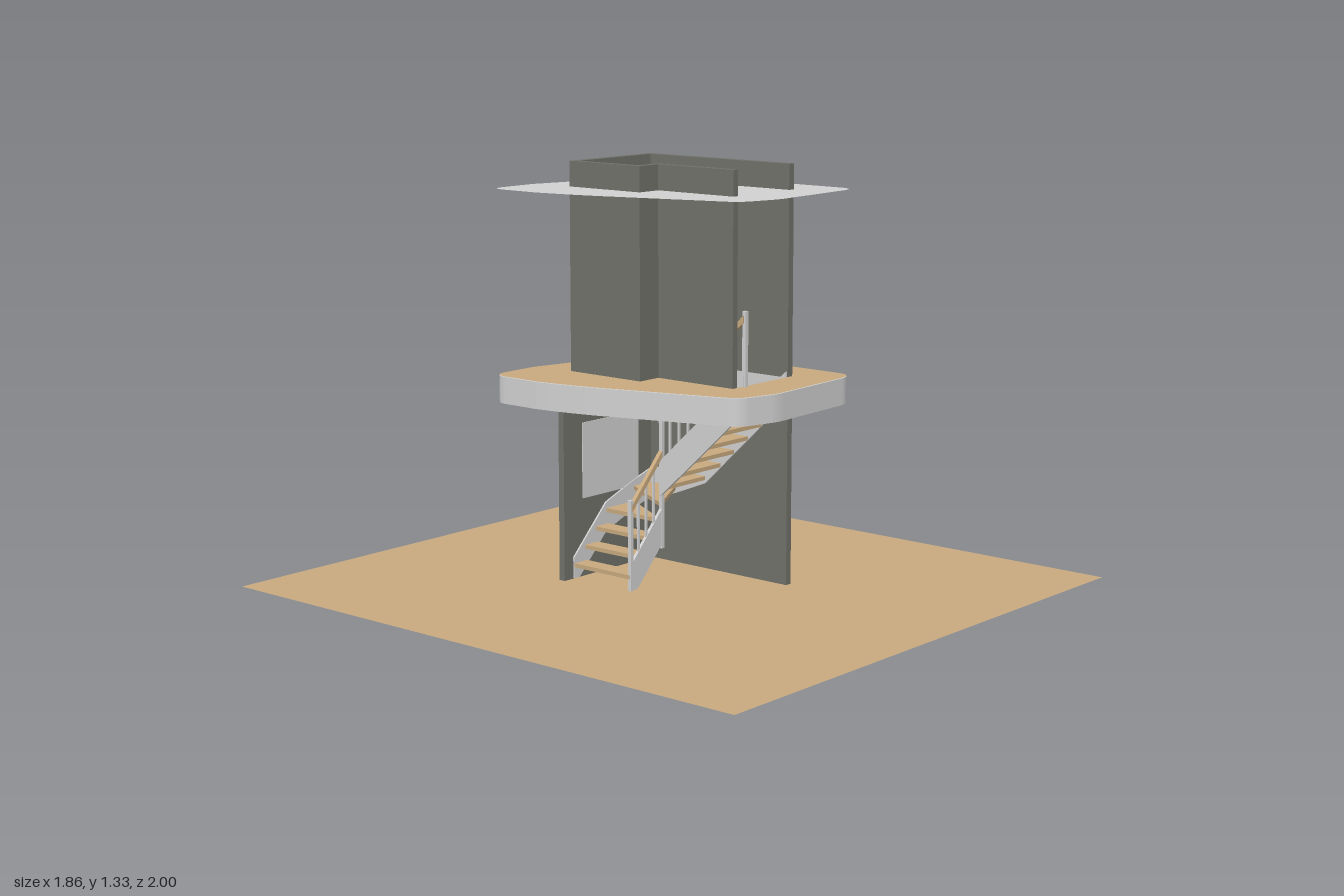
import * as THREE from 'three';

const mat = (name, color, side = THREE.FrontSide) => {
  const m = new THREE.MeshStandardMaterial({ color, side });
  m.name = name;
  return m;
};

export function createModel() {
  const model = new THREE.Group();
  model.name = 'stairTower';
  const wood = mat('wood', 0xc8a97e, THREE.DoubleSide);
  const white = mat('paleGrey', 0xd0d0d0, THREE.DoubleSide);
  const wallGrey = mat('wallGrey', 0x70716a);

  const add = (name, geo, material, parent = model) => {
    const m = new THREE.Mesh(geo, material);
    m.name = name;
    parent.add(m);
    return m;
  };
  // box given by its limits on each axis
  const box = (name, material, x0, x1, y0, y1, z0, z1, parent) => {
    const m = add(name, new THREE.BoxGeometry(x1 - x0, y1 - y0, z1 - z0), material, parent);
    m.position.set((x0 + x1) / 2, (y0 + y1) / 2, (z0 + z1) / 2);
    return m;
  };
  // sloping upright band from a to b ([x, y, z]), reaching lo..hi around that line
  const band = (name, material, a, b, lo, hi, t, parent) => {
    const dx = b[0] - a[0], dz = b[2] - a[2], len = Math.hypot(dx, dz);
    const floor = y => Math.max(0.002, y);
    const s = new THREE.Shape();
    s.moveTo(0, floor(a[1] + lo));
    if (a[1] + lo < 0) s.lineTo(len * (-lo - a[1]) / (b[1] - a[1]), 0.002);
    s.lineTo(len, floor(b[1] + lo));
    s.lineTo(len, b[1] + hi);
    s.lineTo(0, a[1] + hi);
    const g = new THREE.ExtrudeGeometry(s, { depth: t, bevelEnabled: false });
    g.translate(0, 0, -t / 2).rotateY(Math.atan2(-dz, dx)).translate(a[0], 0, a[2]);
    return add(name, g, material, parent);
  };

  // ground sheet
  add('ground', new THREE.PlaneGeometry(1.86, 2).rotateX(-Math.PI / 2), wood);

  // tower walls
  const FLOOR = 0.665, UNDER = 0.58, TOP = 1.33;
  const walls = new THREE.Group();
  walls.name = 'walls';
  model.add(walls);
  box('rightSideWall', wallGrey, 0.197, 0.22, 0, TOP, -0.295, 0.292, walls);
  box('backWallLower', wallGrey, -0.22, 0.197, 0, UNDER, -0.295, -0.273, walls);
  box('backWallUpper', wallGrey, -0.16, 0.197, UNDER, TOP, -0.295, -0.273, walls);
  box('sideWallRear', wallGrey, -0.16, -0.138, UNDER + 0.01, TOP, -0.273, -0.005, walls);
  box('jogWall', wallGrey, -0.138, -0.052, UNDER + 0.01, TOP, -0.027, -0.005, walls);
  box('sideWallFront', wallGrey, -0.074, -0.052, UNDER + 0.01, TOP, -0.005, 0.292, walls);
  box('backWindow', white, -0.135, 0.132, 0.255, 0.5, -0.298, -0.27);

  // rounded, irregular floor outline (shape y is z)
  const outline = () => {
    const s = new THREE.Shape();
    s.moveTo(-0.19, -0.438);
    s.lineTo(-0.31, -0.438);
    s.quadraticCurveTo(-0.366, -0.435, -0.366, -0.38);
    s.lineTo(-0.366, -0.25);
    s.quadraticCurveTo(-0.35, -0.12, -0.315, -0.005);
    s.lineTo(-0.2, 0.365);
    s.quadraticCurveTo(-0.188, 0.405, -0.15, 0.417);
    s.lineTo(-0.075, 0.437);
    s.quadraticCurveTo(-0.045, 0.446, -0.01, 0.443);
    s.lineTo(0.3, 0.427);
    s.quadraticCurveTo(0.36, 0.42, 0.36, 0.365);
    s.lineTo(0.36, -0.245);
    s.quadraticCurveTo(0.358, -0.295, 0.31, -0.308);
    s.lineTo(0.08, -0.372);
    s.lineTo(-0.15, -0.431);
    s.quadraticCurveTo(-0.17, -0.437, -0.19, -0.438);
    return s;
  };
  // floor with a stairwell following the inside of the tower
  const holed = outline();
  holed.holes.push(new THREE.Path([
    [-0.138, -0.273], [0.197, -0.273], [0.197, 0.292],
    [-0.052, 0.292], [-0.052, -0.027], [-0.138, -0.027],
  ].map(p => new THREE.Vector2(...p))));
  const flat = g => g.rotateX(Math.PI / 2);
  add('floorSlab', flat(new THREE.ExtrudeGeometry(holed,
    { depth: FLOOR - UNDER, bevelEnabled: false, curveSegments: 10 })), white).position.y = FLOOR;
  add('floorCovering', flat(new THREE.ShapeGeometry(holed, 10)), wood).position.y = FLOOR + 0.002;
  add('roofSheet', flat(new THREE.ShapeGeometry(outline(), 10)), white).position.y = 1.25;

  // quarter-turn stair: three steps, three winders, six steps
  const stair = new THREE.Group();
  stair.name = 'stair';
  model.add(stair);
  const R = FLOOR / 13, T = 0.013, X0 = -0.18, PX = -0.028, PZ = -0.035;
  const XR = 0.192, ZB = -0.27, ZF = 0.3;
  const g1 = (PX - X0) / 3, g2 = (ZF - PZ) / 6;
  for (let i = 0; i < 3; i++) {
    const y = (i + 1) * R;
    box('lowerTread', wood, X0 + i * g1, X0 + (i + 1) * g1 + 0.008, y - T, y, ZB, PZ, stair);
  }
  for (let i = 0; i < 6; i++) {
    const y = (i + 7) * R;
    box('upperTread', wood, PX, XR, y - T, y, PZ + i * g2, PZ + (i + 1) * g2 + 0.008, stair);
  }
  const t30 = Math.tan(Math.PI / 6);
  const x5 = PX + (PZ - ZB) * t30, z6 = PZ - (XR - PX) * t30;
  [
    [[PX, PZ], [PX, ZB], [x5, ZB]],
    [[PX, PZ], [x5, ZB], [XR, ZB], [XR, z6]],
    [[PX, PZ], [XR, z6], [XR, PZ]],
  ].forEach((pts, i) => {
    const s = new THREE.Shape(pts.map(p => new THREE.Vector2(...p)));
    const g = flat(new THREE.ExtrudeGeometry(s, { depth: T, bevelEnabled: false }));
    add('winderTread', g, wood, stair).position.y = (i + 4) * R;
  });

  // inner and outer stringers
  const lowA = [X0 + 0.008, R, PZ], lowB = [PX, 4 * R, PZ];
  const upA = [PX, 7 * R, PZ], upB = [PX, FLOOR, ZF];
  band('innerStringerLower', white, lowA, lowB, -0.08, 0.035, 0.01, stair);
  band('innerStringerUpper', white, upA, upB, -0.08, 0.035, 0.01, stair);
  const outer = [
    [X0, R, ZB], [PX, 4 * R, ZB], [x5, 5 * R, ZB], [XR, 5.5 * R, ZB],
    [XR, 6 * R, z6], [XR, 7 * R, PZ], [XR, FLOOR, 0.29],
  ];
  for (let i = 0; i < outer.length - 1; i++) {
    band('outerStringer', white, outer[i], outer[i + 1], -0.075, 0.02, 0.006, stair);
  }

  // posts, balusters and handrails on the inner side
  const H = 0.21;
  const post = (name, x, z, y0, y1, w) =>
    box(name, white, x - w / 2, x + w / 2, y0, y1, z - w / 2, z + w / 2, stair);
  post('startPost', X0 + 0.008, PZ, 0, 0.29, 0.013);
  post('cornerPost', PX + 0.004, PZ, 0.11, 7 * R + H + 0.025, 0.013);
  post('topPost', PX + 0.004, ZF, UNDER + 0.002, 0.9, 0.013);
  [[lowA, lowB, 4], [upA, upB, 9]].forEach(([a, b, n]) => {
    band('handrail', wood, a, b, H - 0.01, H + 0.012, 0.014, stair);
    for (let i = 1; i < n; i++) {
      const p = new THREE.Vector3(...a).lerp(new THREE.Vector3(...b), i / n);
      post('baluster', p.x, p.z, p.y, p.y + H, 0.007);
    }
  });

  return model;
}
